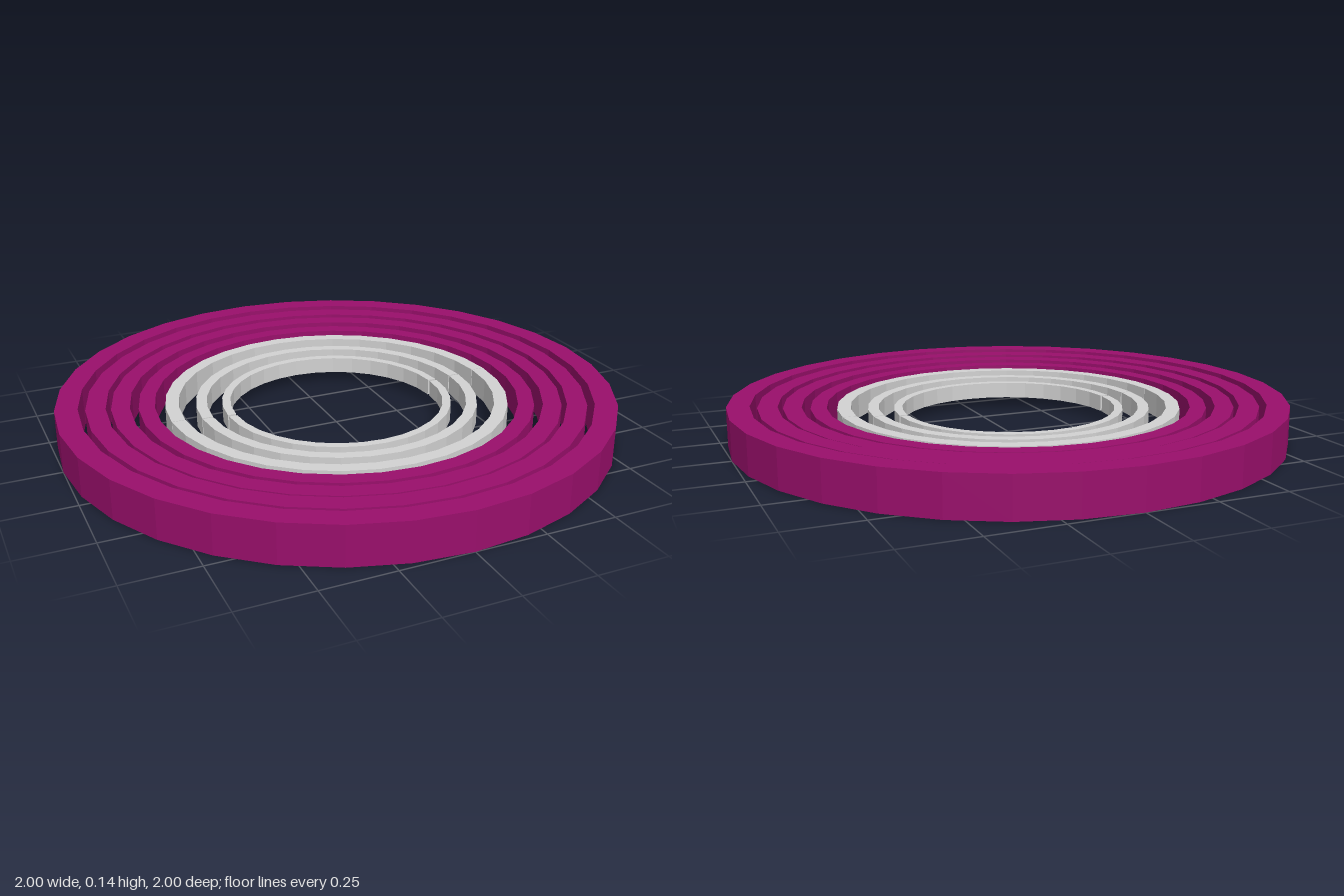
import * as THREE from 'three';

const MID_Y = 0.07; // every ring is centred on this height

// Flat-topped extrusion lying in the XZ plane, centred on MID_Y
function extrudeFlat(shape, height, curveSegments) {
  const geometry = new THREE.ExtrudeGeometry(shape, { depth: height, bevelEnabled: false, curveSegments });
  geometry.rotateX(-Math.PI / 2);
  geometry.translate(0, MID_Y - height / 2, 0);
  return geometry;
}

// Closed ring with 32 sides
function fullRing(outer, inner, height) {
  const shape = new THREE.Shape().absarc(0, 0, outer, 0, Math.PI * 2, false);
  shape.holes.push(new THREE.Path().absarc(0, 0, inner, 0, Math.PI * 2, true));
  return extrudeFlat(shape, height, 16);
}

// Half ring with 16 sides and flat ends
function halfRing(outer, inner, height) {
  const shape = new THREE.Shape();
  shape.absarc(0, 0, outer, 0, Math.PI, false);
  shape.absarc(0, 0, inner, Math.PI, 0, true);
  shape.closePath();
  return extrudeFlat(shape, height, 8);
}

export function createModel() {
  const model = new THREE.Group();
  model.name = 'concentricRings';
  const magenta = new THREE.MeshStandardMaterial({ color: 0x990f6b, flatShading: true });
  magenta.name = 'magenta';
  const grey = new THREE.MeshStandardMaterial({ color: 0xd2d2d2, flatShading: true });
  grey.name = 'lightGrey';

  // Outer rings: each one is a smaller copy, height in proportion to radius
  [[1, 0.92], [0.895, 0.825], [0.807, 0.742], [0.712, 0.655]].forEach(([outer, inner], i) => {
    const ring = new THREE.Mesh(fullRing(outer, inner, outer * 0.14), magenta);
    ring.name = `outerRing${i + 1}`;
    model.add(ring);
  });

  // Inner rings: two halves with a narrow split along x
  [[0.62, 0.572, 0.003], [0.512, 0.473, 0.006], [0.42, 0.39, 0.012]].forEach(([outer, inner, gap], i) => {
    const pair = new THREE.Group();
    pair.name = `innerRing${i + 1}`;
    const geometry = halfRing(outer - gap / 2, inner - gap / 2, outer * 0.14);
    for (const side of [-1, 1]) {
      const half = new THREE.Mesh(geometry, grey);
      half.name = side < 0 ? 'backHalf' : 'frontHalf';
      half.rotation.y = side < 0 ? 0 : Math.PI;
      half.position.z = side * gap / 2;
      pair.add(half);
    }
    model.add(pair);
  });

  return model;
}
